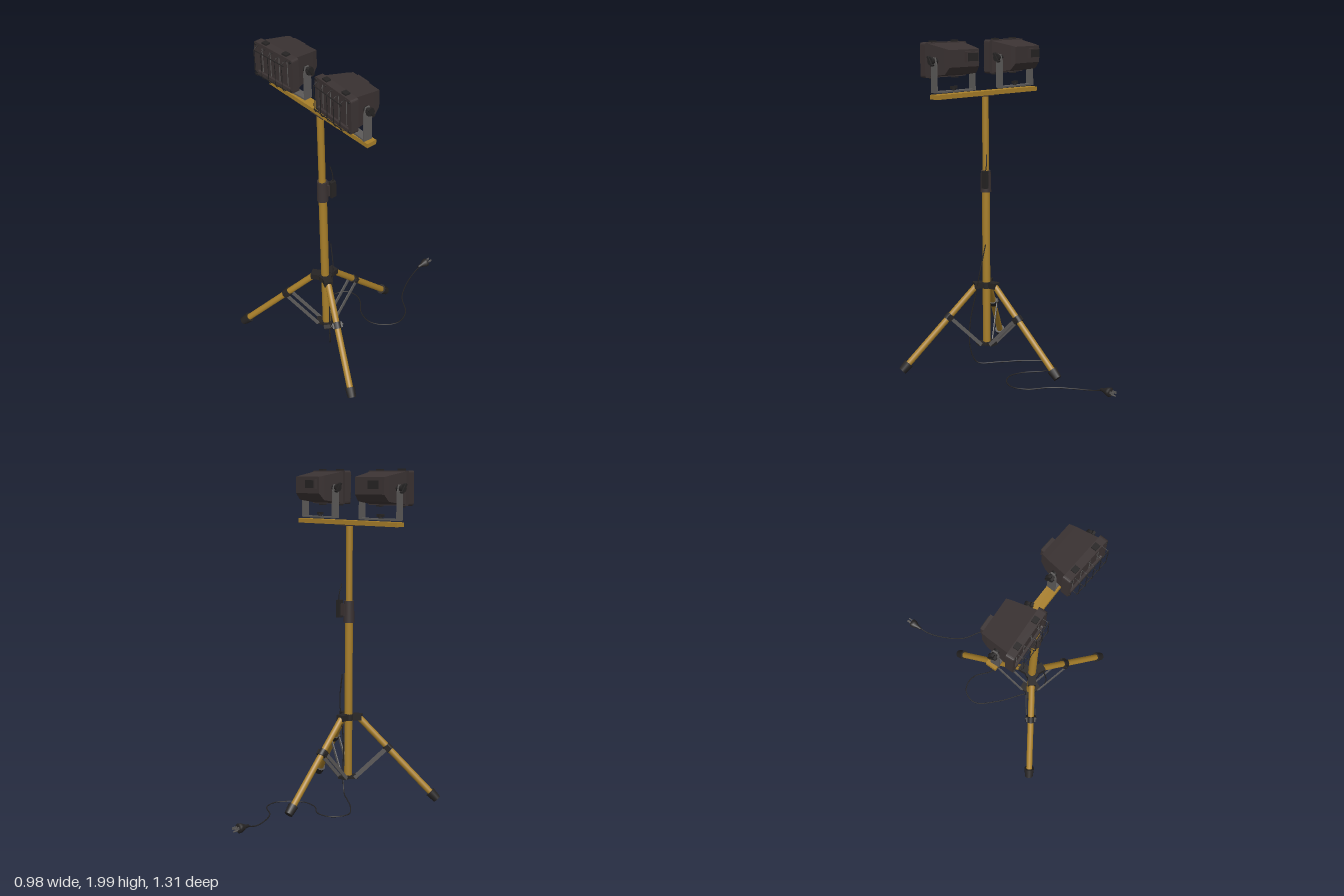
import * as THREE from 'three';

const mat = (name, color) => Object.assign(new THREE.MeshStandardMaterial({ color }), { name });
const yellow = mat('yellow paint', 0xa87f2a);
const dark = mat('dark housing', 0x3b3333);
const black = mat('black rubber', 0x262424);
const grey = mat('grey steel', 0x5c5a59);

function add(parent, name, geo, material, x = 0, y = 0, z = 0) {
  const m = new THREE.Mesh(geo, material);
  m.name = name;
  m.position.set(x, y, z);
  parent.add(m);
  return m;
}
const box = (w, h, d) => new THREE.BoxGeometry(w, h, d);
const cyl = (r1, r2, h, n = 20) => new THREE.CylinderGeometry(r1, r2, h, n);
const V = (x, y, z) => new THREE.Vector3(x, y, z);

// Lays a geometry's y axis along the line from a to b
function between(parent, name, a, b, makeGeo, material) {
  const d = b.clone().sub(a);
  const m = add(parent, name, makeGeo(d.length()), material);
  m.position.copy(a).add(b).multiplyScalar(0.5);
  m.quaternion.setFromUnitVectors(V(0, 1, 0), d.normalize());
  return m;
}
const tube = (pts, r, n) => new THREE.TubeGeometry(new THREE.CatmullRomCurve3(pts), n, r, 6);

function roundRect(s, w, h, r) {
  const x = w / 2, y = h / 2;
  s.moveTo(-x + r, -y).lineTo(x - r, -y).quadraticCurveTo(x, -y, x, -y + r)
    .lineTo(x, y - r).quadraticCurveTo(x, y, x - r, y)
    .lineTo(-x + r, y).quadraticCurveTo(-x, y, -x, y - r)
    .lineTo(-x, -y + r).quadraticCurveTo(-x, -y, -x + r, -y);
  return s;
}

// Tapered housing: each depth slice has its own half width, bottom and top
function housingGeometry() {
  const slices = [[-0.1, 0.108, -0.035, 0.063], [-0.065, 0.115, -0.075, 0.07], [0.07, 0.133, -0.095, 0.095]];
  const g = new THREE.BoxGeometry(2, 2, 2, 1, 1, 2);
  const p = g.attributes.position;
  for (let i = 0; i < p.count; i++) {
    const [z, w, lo, hi] = slices[Math.round(p.getZ(i)) + 1];
    p.setXYZ(i, p.getX(i) * w, p.getY(i) > 0 ? hi : lo, z);
  }
  const flat = g.toNonIndexed();
  flat.computeVertexNormals();
  return flat;
}

function floodlight(x, turn) {
  const lamp = new THREE.Group();
  lamp.name = 'floodlight';
  lamp.position.set(x, 1.886, 0.31);
  lamp.rotation.y = turn;
  add(lamp, 'housing', housingGeometry(), dark);

  // Front frame with recessed lens
  const rim = roundRect(new THREE.Shape(), 0.305, 0.2, 0.015);
  rim.holes.push(roundRect(new THREE.Path(), 0.262, 0.158, 0.01));
  const frameGeo = new THREE.ExtrudeGeometry(rim, { depth: 0.045, bevelEnabled: false, curveSegments: 4 });
  add(lamp, 'frontFrame', frameGeo, dark, 0, 0, 0.066);
  add(lamp, 'lens', box(0.264, 0.16, 0.02), dark, 0, 0, 0.088);
  for (const lx of [-0.1, -0.035, 0.035, 0.1])
    add(lamp, 'lensRib', box(0.003, 0.15, 0.004), grey, lx, 0, 0.099);
  for (const sx of [-1, 1]) for (const sy of [-1, 1]) {
    add(lamp, 'frameClip', box(0.035, 0.012, 0.03), black, sx * 0.08, sy * 0.103, 0.088);
    add(lamp, 'frameBolt', cyl(0.007, 0.007, 0.008, 8), black, sx * 0.138, sy * 0.086, 0.113).rotation.x = Math.PI / 2;
  }

  // Wire guard
  for (const gx of [-0.11, -0.055, 0, 0.055, 0.11])
    add(lamp, 'guardWire', tube([V(gx, 0.088, 0.108), V(gx, 0.082, 0.142), V(gx, 0, 0.147), V(gx, -0.082, 0.142), V(gx, -0.088, 0.108)], 0.002, 16), black);
  for (const gy of [-0.07, 0.07])
    add(lamp, 'guardRail', box(0.24, 0.004, 0.004), black, 0, gy, 0.143);

  // Rear junction box
  add(lamp, 'junctionBox', box(0.09, 0.06, 0.025), dark, -0.045, 0.02, -0.108);
  add(lamp, 'junctionLid', box(0.075, 0.045, 0.006), black, -0.045, 0.02, -0.122);

  // U bracket, pivots and knobs
  add(lamp, 'bracketBase', box(0.28, 0.01, 0.045), grey, 0, -0.177, 0);
  for (const s of [-1, 1]) {
    const arm = new THREE.Shape([[-0.026, -0.18], [0.026, -0.18], [0.024, -0.02], [0.012, 0.02], [-0.012, 0.02], [-0.024, -0.02]]
      .map(([a, b]) => new THREE.Vector2(a, b)));
    const armGeo = new THREE.ExtrudeGeometry(arm, { depth: 0.008, bevelEnabled: false }).translate(0, 0, -0.004);
    add(lamp, 'bracketArm', armGeo, grey, s * 0.14, 0, 0).rotation.y = Math.PI / 2;
    add(lamp, 'pivot', cyl(0.016, 0.016, 0.06, 12), black, s * 0.128, 0, 0).rotation.z = Math.PI / 2;
    add(lamp, 'pivotKnob', cyl(0.024, 0.024, 0.014, 8), black, s * 0.163, 0, 0).rotation.z = Math.PI / 2;
    add(lamp, 'knobGrip', box(0.02, 0.062, 0.014), black, s * 0.166, 0, 0).rotation.x = 0.6;
  }
  add(lamp, 'baseBolt', cyl(0.012, 0.012, 0.02, 6), black, 0, -0.166, 0);
  add(lamp, 'baseWingNut', box(0.045, 0.016, 0.015), black, 0, -0.156, 0);
  return lamp;
}

// One leg with its brace, pointing along +x from the pole
function leg(angle) {
  const g = new THREE.Group();
  g.name = 'leg';
  g.rotation.y = -angle;
  const top = V(0.06, 0.515, 0), foot = V(0.53, 0.04, 0);
  const at = t => top.clone().lerp(foot, t);
  between(g, 'legTube', top, at(0.97), h => cyl(0.019, 0.019, h), yellow);
  between(g, 'footCap', at(0.94), at(1.03), h => cyl(0.025, 0.031, h, 12), black);
  between(g, 'legCollar', at(0.36), at(0.42), h => cyl(0.026, 0.026, h, 12), black);
  between(g, 'collarClamp', at(0.365), at(0.415), h => box(0.03, h, 0.062), black);
  add(g, 'legHinge', box(0.055, 0.036, 0.052), black, 0.055, 0.513, 0);
  for (const s of [-1, 1]) {
    between(g, 'braceBar', V(0.045, 0.137, s * 0.027), V(0.242, 0.332, s * 0.027), h => box(0.022, h, 0.006), grey);
    add(g, 'bracePin', cyl(0.009, 0.009, 0.012, 8), black, 0.242, 0.332, s * 0.031).rotation.x = Math.PI / 2;
  }
  add(g, 'braceFoot', box(0.045, 0.018, 0.056), black, 0.04, 0.139, 0);
  return g;
}

export function createModel() {
  const model = new THREE.Group();
  model.name = 'tripodWorkLight';

  // Pole, collars and legs share the pole's axis
  const stand = new THREE.Group();
  stand.name = 'stand';
  stand.position.set(-0.03, 0, 0.31);
  model.add(stand);
  add(stand, 'lowerPole', cyl(0.024, 0.024, 1.04), yellow, 0, 0.65, 0);
  add(stand, 'upperPole', cyl(0.02, 0.02, 0.52), yellow, 0, 1.42, 0);
  add(stand, 'legCrown', cyl(0.042, 0.042, 0.034), black, 0, 0.51, 0);
  add(stand, 'braceHub', cyl(0.036, 0.036, 0.018), black, 0, 0.137, 0);
  for (let i = 0; i < 3; i++) stand.add(leg(THREE.MathUtils.degToRad(24 + i * 120)));

  // Height clamp with lever box
  add(stand, 'heightClamp', cyl(0.03, 0.033, 0.13), dark, 0, 1.153, 0);
  add(stand, 'clampBlock', box(0.04, 0.07, 0.03), dark, 0.022, 1.165, -0.026);
  add(stand, 'clampLever', box(0.024, 0.105, 0.035), black, 0.043, 1.17, -0.038);
  add(stand, 'leverWire', tube([V(0.043, 1.21, -0.04), V(0.038, 1.26, -0.045), V(0.028, 1.32, -0.035)], 0.003, 12), black);

  // Crossbar
  add(model, 'crossbar', box(0.82, 0.026, 0.06), yellow, -0.03, 1.683, 0.305);
  add(stand, 'crossbarMount', box(0.1, 0.008, 0.05), dark, 0, 1.667, 0);

  // Lamps turned slightly inward
  model.add(floodlight(-0.28, 0.06), floodlight(0.222, -0.06));

  // Power cord hanging down the pole and curling over the floor
  const path = [
    [0, 0.77, 0.285], [0.035, 0.6, 0.3], [0.045, 0.45, 0.33], [0.062, 0.28, 0.36], [0.065, 0.12, 0.36],
    [0.03, 0.02, 0.335], [-0.07, 0.012, 0.26], [-0.185, 0.012, 0.175], [-0.29, 0.012, 0.05], [-0.262, 0.012, -0.04],
    [-0.2, 0.012, -0.066], [-0.14, 0.012, -0.055], [-0.05, 0.012, 0.012], [0.045, 0.012, 0.03], [0.13, 0.012, -0.02],
    [0.175, 0.012, -0.11], [0.14, 0.012, -0.2], [0.02, 0.012, -0.28], [-0.055, 0.012, -0.39],
    [-0.095, 0.018, -0.49], [-0.105, 0.035, -0.56],
  ].map(p => V(...p));
  add(model, 'powerCord', tube(path, 0.0035, 160), black);

  // Plug
  const plug = new THREE.Group();
  plug.name = 'plug';
  plug.position.set(-0.106, 0.036, -0.55);
  plug.rotation.x = -Math.PI / 2;
  const profile = [[0, -0.005], [0.008, -0.005], [0.012, 0.02], [0.026, 0.05], [0.028, 0.066], [0.02, 0.072], [0, 0.072]];
  add(plug, 'plugBody', new THREE.LatheGeometry(profile.map(([r, y]) => new THREE.Vector2(r, y)), 12), black);
  for (const s of [-1, 1]) add(plug, 'plugBlade', box(0.005, 0.034, 0.014), grey, s * 0.011, 0.085, 0.004);
  add(plug, 'plugGroundPin', cyl(0.004, 0.004, 0.036, 8), grey, 0, 0.086, -0.012);
  model.add(plug);
  return model;
}
